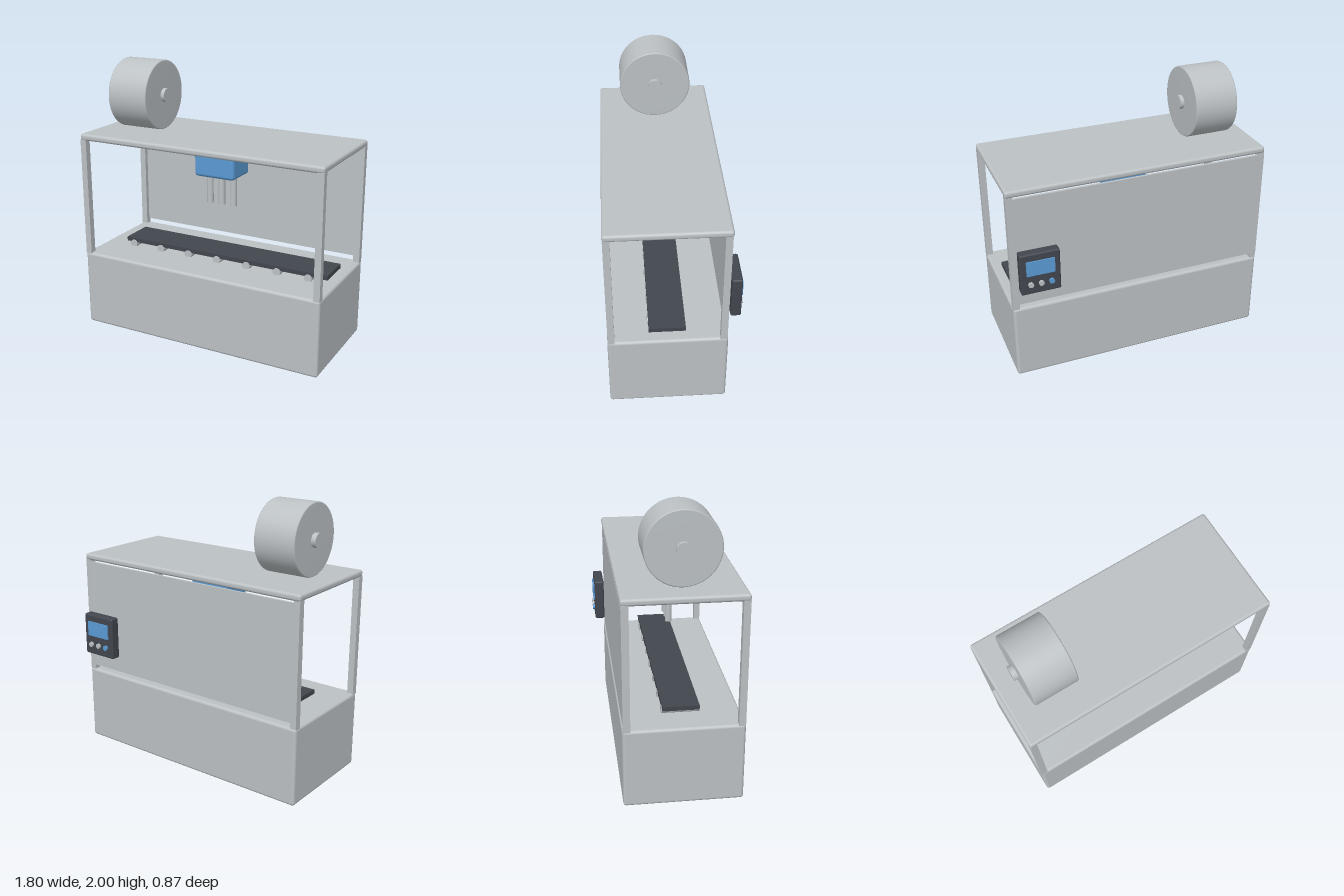
import * as THREE from 'three';
import { RoundedBoxGeometry } from 'three/addons/geometries/RoundedBoxGeometry.js';

export function createModel() {
  const model = new THREE.Group();
  model.name = 'packagingMachine';

  const material = (name, color) => {
    const m = new THREE.MeshStandardMaterial({ color });
    m.name = name;
    return m;
  };
  const steel = material('steelGrey', 0xbcc1c4);
  const dark = material('darkGrey', 0x42464e);
  const blue = material('blue', 0x5b9bd5);

  const add = (name, geometry, mat, x, y, z) => {
    const mesh = new THREE.Mesh(geometry, mat);
    mesh.name = name;
    mesh.position.set(x, y, z);
    model.add(mesh);
    return mesh;
  };
  // Box given by its limits, rounded when a radius is set
  const box = (name, mat, [x0, x1], [y0, y1], [z0, z1], r = 0) => {
    const size = [x1 - x0, y1 - y0, z1 - z0];
    const geometry = r ? new RoundedBoxGeometry(...size, 3, r) : new THREE.BoxGeometry(...size);
    return add(name, geometry, mat, (x0 + x1) / 2, (y0 + y1) / 2, (z0 + z1) / 2);
  };
  const cylinder = (r, length) => new THREE.CylinderGeometry(r, r, length, 32);
  const midZ = 0.05;

  // Cabinet and roof
  box('base', steel, [-0.9, 0.9], [0.1, 0.643], [-0.343, 0.437], 0.02);
  box('roof', steel, [-0.9, 0.9], [1.467, 1.513], [-0.343, 0.437], 0.018);

  // Corner posts and rear panel
  for (const x of [-0.876, 0.876]) {
    for (const z of [-0.314, 0.412]) {
      box('post', steel, [x - 0.022, x + 0.022], [0.635, 1.475], [z - 0.022, z + 0.022]);
    }
  }
  box('backPanel', steel, [-0.898, 0.854], [0.677, 1.456], [-0.339, -0.322]);

  // Conveyor belt on rollers
  box('conveyorBelt', dark, [-0.723, 0.844], [0.674, 0.704], [-0.071, 0.169]);
  for (let i = 0; i < 7; i++) {
    const roller = add('roller', cylinder(0.028, 0.25), steel, -0.664 + i * 0.2288, 0.662, midZ);
    roller.rotation.x = Math.PI / 2;
  }

  // Filling head with three nozzles
  box('fillingHead', blue, [-0.151, 0.151], [1.246, 1.428], [-0.07, 0.17], 0.025);
  for (const x of [-0.091, 0, 0.091]) {
    add('nozzle', cylinder(0.023, 0.23), steel, x, 1.15, midZ);
  }

  // Film reel with softened rims, on an axle
  const rim = [[0, -0.15], [0.232, -0.15], [0.237, -0.148], [0.24, -0.142],
    [0.24, 0.142], [0.237, 0.148], [0.232, 0.15], [0, 0.15]].map(([r, y]) => new THREE.Vector2(r, y));
  const reel = add('filmReel', new THREE.LatheGeometry(rim, 64), steel, -0.602, 1.758, midZ);
  reel.rotation.z = Math.PI / 2;
  const axle = add('reelAxle', cylinder(0.048, 0.36), steel, -0.605, 1.758, midZ);
  axle.rotation.z = Math.PI / 2;

  // Control box with screen and buttons, facing the rear
  box('controlBox', dark, [0.588, 0.856], [0.795, 1.093], [-0.42, -0.352], 0.012);
  box('screen', blue, [0.627, 0.817], [0.937, 1.042], [-0.429, -0.42]);
  [steel, steel, blue].forEach((mat, i) => {
    const button = add('button', cylinder(0.018, 0.024), mat, 0.792 - i * 0.07, 0.871, -0.423);
    button.rotation.x = Math.PI / 2;
  });

  // Drain bowl and spout under the base
  const bowl = new THREE.SphereGeometry(0.054, 32, 12, 0, Math.PI * 2, Math.PI / 2, Math.PI / 2);
  add('drainBowl', bowl, steel, 0, 0.103, midZ);
  add('drainSpout', cylinder(0.017, 0.07), dark, 0, 0.035, midZ);

  return model;
}
